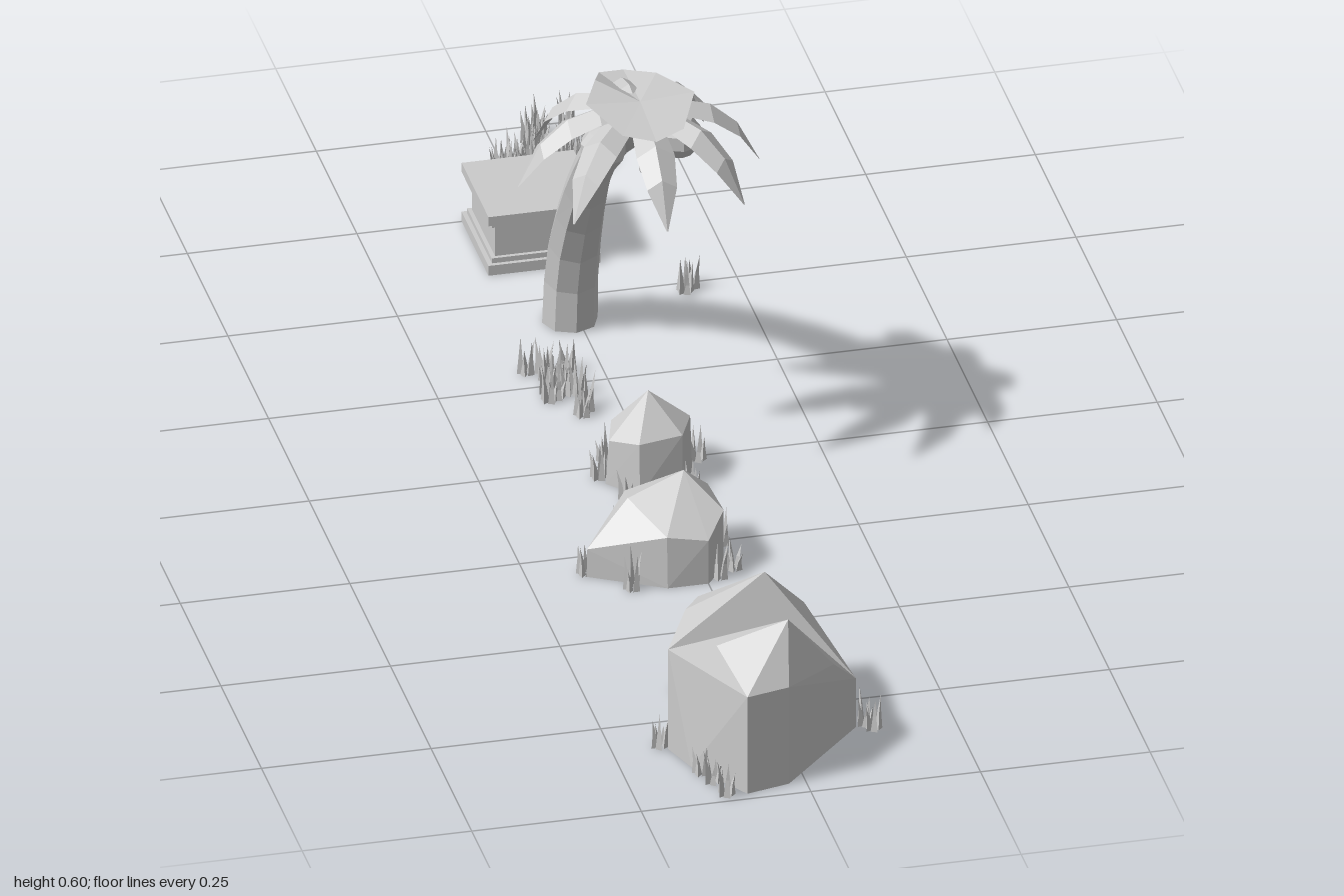
import * as THREE from 'three';
import { mergeGeometries } from 'three/addons/utils/BufferGeometryUtils.js';
import { ConvexGeometry } from 'three/addons/geometries/ConvexGeometry.js';

const solid = new THREE.MeshStandardMaterial({ color: 0xcccccc, flatShading: true });
const thin = new THREE.MeshStandardMaterial({ color: 0xcccccc, flatShading: true, side: THREE.DoubleSide });

let seed = 7;
const rand = (a = 0, b = 1) => {
  seed = (seed * 16807) % 2147483647;
  return a + (b - a) * (seed / 2147483647);
};

function add(parent, name, geometry, material = solid) {
  const m = new THREE.Mesh(geometry, material);
  m.name = name;
  parent.add(m);
  return m;
}

// Faceted stone: convex hull of a ground outline [x, z] and upper points [x, y, z]
function rock(parent, name, ground, upper) {
  const pts = ground.map(([x, z]) => new THREE.Vector3(x, 0, z));
  upper.forEach((p) => pts.push(new THREE.Vector3(...p)));
  add(parent, name, new ConvexGeometry(pts));
}

// Slim three-sided blade that leans outwards towards its tip
function blade(x, z, height, lean, angle) {
  const g = new THREE.ConeGeometry(0.006, height, 3, 2).translate(0, height / 2, 0);
  const p = g.attributes.position;
  for (let i = 0; i < p.count; i++) {
    const t = p.getY(i) / height;
    p.setX(i, p.getX(i) + lean * t * t);
  }
  return g.rotateY(angle).translate(x, 0, z);
}

function grass(parent, name, spots) {
  const blades = [];
  for (const [x, z] of spots) {
    const turn = rand(0, 6);
    for (let k = 0; k < 5; k++) {
      const a = turn + k * 1.257;
      blades.push(blade(x + 0.008 * Math.cos(a), z - 0.008 * Math.sin(a), rand(0.028, 0.062), rand(0, 0.008), a));
    }
  }
  add(parent, name, mergeGeometries(blades));
}

const scatter = (n, x0, x1, z0, z1) => Array.from({ length: n }, () => [rand(x0, x1), rand(z0, z1)]);

// V-shaped leaf lofted along +x from stations [reach, height, half width]
function frondGeometry(stations) {
  const pos = [], idx = [];
  stations.forEach(([r, y, w], i) => {
    pos.push(r, y - w * 0.6, -w, r, y, 0, r, y - w * 0.6, w);
    if (i) {
      for (let k = 0; k < 2; k++) {
        const a = (i - 1) * 3 + k, b = i * 3 + k;
        idx.push(a, a + 1, b, a + 1, b + 1, b);
      }
    }
  });
  const g = new THREE.BufferGeometry();
  g.setAttribute('position', new THREE.Float32BufferAttribute(pos, 3));
  g.setIndex(idx);
  g.computeVertexNormals();
  return g;
}

function createPalm() {
  const palm = new THREE.Group();
  palm.name = 'palmTree';
  const cx = -0.012;

  // Trunk: eight-sided tube, tapering and arching forwards
  const path = new THREE.CatmullRomCurve3(
    [[0, -0.433], [0.1, -0.42], [0.2, -0.375], [0.32, -0.295], [0.4, -0.22], [0.47, -0.13], [0.53, -0.05], [0.56, -0.01]]
      .map(([y, z]) => new THREE.Vector3(cx, y, z)));
  const rings = 10, sides = 8;
  const radii = [0.041, 0.04, 0.039, 0.036, 0.033, 0.03, 0.029, 0.03, 0.031, 0.029, 0.022];
  const trunk = new THREE.TubeGeometry(path, rings, 1, sides);
  const p = trunk.attributes.position, v = new THREE.Vector3();
  for (let i = 0; i < p.count; i++) {
    const ring = Math.floor(i / (sides + 1));
    const c = path.getPointAt(ring / rings);
    v.fromBufferAttribute(p, i).sub(c).multiplyScalar(radii[ring]).add(c);
    p.setXYZ(i, v.x, ring === 0 ? 0 : v.y, v.z);
  }
  add(palm, 'trunk', trunk);
  add(palm, 'trunkFoot', new THREE.CircleGeometry(0.041, sides).rotateX(Math.PI / 2)).position.set(cx, 0, -0.433);

  // Ring of drooping fronds
  const leaf = frondGeometry([
    [0, 0.575, 0.015], [0.06, 0.583, 0.024], [0.105, 0.57, 0.028], [0.145, 0.535, 0.022], [0.178, 0.47, 0.001],
  ]);
  for (let i = 0; i < 8; i++) {
    const f = add(palm, 'frond', leaf, thin);
    f.position.set(cx, 0, -0.01);
    f.rotation.y = (i * Math.PI) / 4;
  }

  // Crown: wide cap over the fronds, sloping down to the trunk at the back
  const rim = [[0.08, 0.598, 0], [0.045, 0.585, 0.08], [0, 0.58, 0.1], [-0.045, 0.585, 0.08],
    [-0.08, 0.598, 0], [-0.045, 0.585, -0.09], [-0.018, 0.545, -0.18], [0.018, 0.545, -0.18], [0.045, 0.585, -0.09]];
  const pos = [0, 0.592, 0.0, ...rim.flat(), 0, 0.56, -0.01];
  const idx = [];
  rim.forEach((_, i) => {
    const a = 1 + i, b = 1 + ((i + 1) % rim.length);
    idx.push(0, a, b, rim.length + 1, b, a);
  });
  // Rim runs clockwise from above, so reverse the winding
  idx.reverse();
  const cap = new THREE.BufferGeometry();
  cap.setAttribute('position', new THREE.Float32BufferAttribute(pos, 3));
  cap.setIndex(idx);
  cap.computeVertexNormals();
  add(palm, 'crown', cap, thin).position.x = cx;

  // Fruit hanging under the crown
  for (const [x, y, z, r] of [[-0.067, 0.523, 0, 0.035], [0.045, 0.53, 0, 0.034], [0.006, 0.502, 0.025, 0.027]]) {
    add(palm, 'coconut', new THREE.SphereGeometry(r, 8, 5)).position.set(x, y, z);
  }
  return palm;
}

function createPedestal() {
  const g = new THREE.Group();
  g.name = 'pedestal';
  // [name, width, bottom, top]
  for (const [name, w, y0, y1] of [['plinth', 0.165, 0, 0.016], ['plinthStep', 0.152, 0.016, 0.024],
    ['block', 0.14, 0.024, 0.074], ['lidStep', 0.152, 0.074, 0.081], ['lid', 0.165, 0.081, 0.096]]) {
    add(g, name, new THREE.BoxGeometry(w, y1 - y0, w)).position.y = (y0 + y1) / 2;
  }
  g.position.set(-0.013, 0, -0.668);
  return g;
}

export function createModel() {
  const model = new THREE.Group();
  model.name = 'islandProps';
  model.add(createPalm(), createPedestal());

  // Large boulder of two peaks
  rock(model, 'largeRockFront',
    [[-0.17, 0.83], [-0.15, 0.89], [-0.09, 0.985], [-0.025, 0.97], [0.028, 0.91], [0.107, 0.83], [0.04, 0.77], [-0.1, 0.77]],
    [[-0.17, 0.163, 0.83], [-0.09, 0.158, 0.985], [-0.025, 0.158, 0.97], [0.028, 0.08, 0.91],
      [0.065, 0.13, 0.87], [0.107, 0.08, 0.83], [-0.012, 0.235, 0.91], [-0.115, 0.2, 0.9]]);
  rock(model, 'largeRockBack',
    [[-0.17, 0.83], [-0.125, 0.75], [-0.09, 0.682], [0.066, 0.682], [0.066, 0.775], [0.107, 0.83], [0, 0.88]],
    [[-0.17, 0.163, 0.83], [-0.125, 0.18, 0.75], [-0.09, 0.16, 0.682], [0.066, 0.13, 0.682],
      [0.066, 0.13, 0.775], [0.107, 0.08, 0.83], [-0.012, 0.235, 0.765]]);

  // Medium and small boulders
  rock(model, 'mediumRock',
    [[-0.095, 0.232], [0.032, 0.232], [0.032, 0.33], [0, 0.37], [-0.06, 0.37], [-0.165, 0.31]],
    [[-0.09, 0.09, 0.232], [0.032, 0.085, 0.232], [0.032, 0.095, 0.33], [0, 0.07, 0.37],
      [-0.06, 0.08, 0.365], [-0.165, 0.045, 0.31], [-0.1, 0.11, 0.29], [-0.015, 0.14, 0.28]]);
  rock(model, 'smallRock',
    [[-0.06, -0.005], [0.03, -0.012], [0.055, 0.04], [0.03, 0.085], [-0.035, 0.095], [-0.075, 0.05]],
    [[-0.055, 0.075, 0], [0.03, 0.085, -0.008], [0.052, 0.09, 0.04], [0.03, 0.085, 0.085],
      [-0.035, 0.08, 0.09], [-0.07, 0.07, 0.05], [-0.01, 0.14, 0.04]]);

  // Grass around the stones and in loose patches
  grass(model, 'largeRockGrass', [[-0.115, 0.665], [-0.09, 0.67], [0.08, 0.69], [-0.18, 0.82],
    [0.122, 0.825], [0.13, 0.84], [-0.14, 0.91], [-0.13, 0.94], [-0.12, 0.98]]);
  grass(model, 'mediumRockGrass', [[0.03, 0.222], [0.045, 0.26], [0.045, 0.335], [0.02, 0.355],
    [-0.11, 0.36], [-0.165, 0.3], [-0.1, 0.235]]);
  grass(model, 'smallRockGrass', [[0.04, 0.1], [0.07, 0.01], [0.035, -0.022], [-0.055, 0.1], [-0.08, 0.03], [-0.06, -0.015]]);
  grass(model, 'middleGrass', [...scatter(11, -0.11, -0.05, -0.295, -0.2), [-0.06, -0.155], [-0.05, -0.17]]);
  grass(model, 'trunkGrass', [[0.168, -0.475], [0.18, -0.487]]);
  grass(model, 'backGrass', [...scatter(26, 0.03, 0.13, -0.985, -0.84), ...scatter(6, -0.03, 0.03, -0.92, -0.835)]);
  return model;
}
